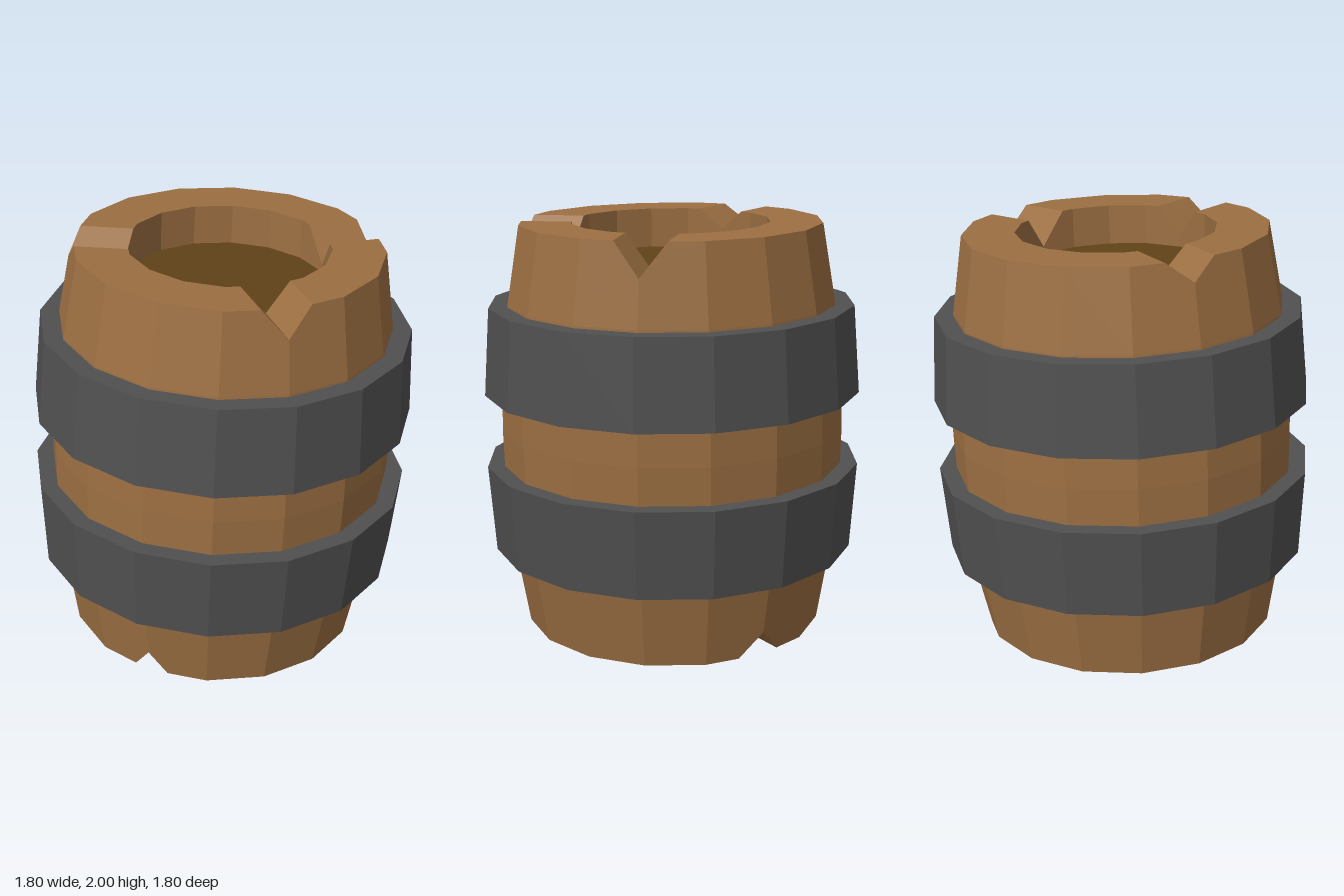
import * as THREE from 'three';

const SIDES = 16;
const HALF = 0.97; // half height of the barrel
const material = (color) => new THREE.MeshStandardMaterial({ color, flatShading: true });

// Corner k of a regular ring with radius r at height y
function corner(k, r, y) {
  const a = (k * Math.PI * 2) / SIDES;
  return new THREE.Vector3(r * Math.sin(a), y, r * Math.cos(a));
}

// One half of the staves: from the belly up over the rim and down into the recess.
// notches: { corner: { width, depth } }, V cuts running radially through the rim
function halfStaves(notches, flip) {
  const rows = [
    { r: 0.82, y: 0 },
    { r: 0.815, y: 0.2 },
    { r: 0.777, y: 0.6 },
    { r: 0.715, y: HALF, rim: true, slope: 0.168 },
    { r: 0.47, y: HALF, rim: true, slope: 0 },
    { r: 0.47, y: HALF - 0.19 },
  ];
  // Stations around the ring: plain corners, or left lip / apex / right lip of a notch
  const stations = [];
  for (let k = 0; k < SIDES; k++) {
    const n = notches[k];
    if (n) stations.push({ k, t: -n.width, drop: 0 });
    stations.push({ k, t: 0, drop: n ? n.depth : 0 });
    if (n) stations.push({ k, t: n.width, drop: 0 });
  }
  const edge = 2 * Math.sin(Math.PI / SIDES) * Math.cos(Math.PI / SIDES);
  const positions = [];
  for (const s of stations) {
    for (const row of rows) {
      const drop = row.rim ? s.drop : 0;
      const r = row.r + drop * (row.slope || 0);
      const p = corner(s.k, r, row.y - drop);
      p.lerp(corner(s.k + Math.sign(s.t), r, row.y - drop), Math.abs(s.t) / (edge * r));
      positions.push(p.x, flip ? -p.y : p.y, p.z);
    }
  }
  const index = [];
  const m = rows.length;
  for (let j = 0; j < stations.length; j++) {
    const next = (j + 1) % stations.length;
    for (let i = 0; i < m - 1; i++) {
      const a = j * m + i, b = next * m + i, c = b + 1, d = a + 1;
      if (flip) index.push(a, d, b, c, b, d);
      else index.push(a, b, d, c, d, b);
    }
  }
  const geometry = new THREE.BufferGeometry();
  geometry.setAttribute('position', new THREE.Float32BufferAttribute(positions, 3));
  geometry.setIndex(index);
  geometry.computeVertexNormals();
  return geometry;
}

export function createModel() {
  const model = new THREE.Group();
  model.name = 'barrel';
  const body = new THREE.Group();
  body.name = 'tiltedBarrel';
  body.position.y = 1;
  body.rotation.set(-0.03, -0.03, -0.03); // leans slightly
  model.add(body);

  const wood = material(0x9c6f42);
  const darkWood = material(0x604218);
  const iron = material(0x505050);
  const add = (name, geometry, mat) => {
    const mesh = new THREE.Mesh(geometry, mat);
    mesh.name = name;
    body.add(mesh);
    return mesh;
  };

  // Staves with chipped rims
  add('upperStaves', halfStaves({
    2: { width: 0.115, depth: 0.13 },
    6: { width: 0.12, depth: 0.155 },
    13: { width: 0.12, depth: 0.095 },
  }, false), wood);
  add('lowerStaves', halfStaves({
    0: { width: 0.085, depth: 0.12 },
    8: { width: 0.11, depth: 0.12 },
  }, true), wood);

  for (const s of [1, -1]) {
    const label = s > 0 ? 'upper' : 'lower';

    // Recessed lid
    const lid = add(label + 'Lid', new THREE.CircleGeometry(0.47, SIDES), darkWood);
    lid.rotation.x = (-s * Math.PI) / 2;
    lid.position.y = s * (HALF - 0.19);

    // Iron hoop, wider towards the belly
    const profile = [[0.75, 0.175], [0.897, 0.175], [0.867, 0.59], [0.75, 0.59]]
      .map(([r, y]) => new THREE.Vector2(r, s * y));
    if (s < 0) profile.reverse();
    add(label + 'Hoop', new THREE.LatheGeometry(profile, SIDES), iron);
  }
  return model;
}
